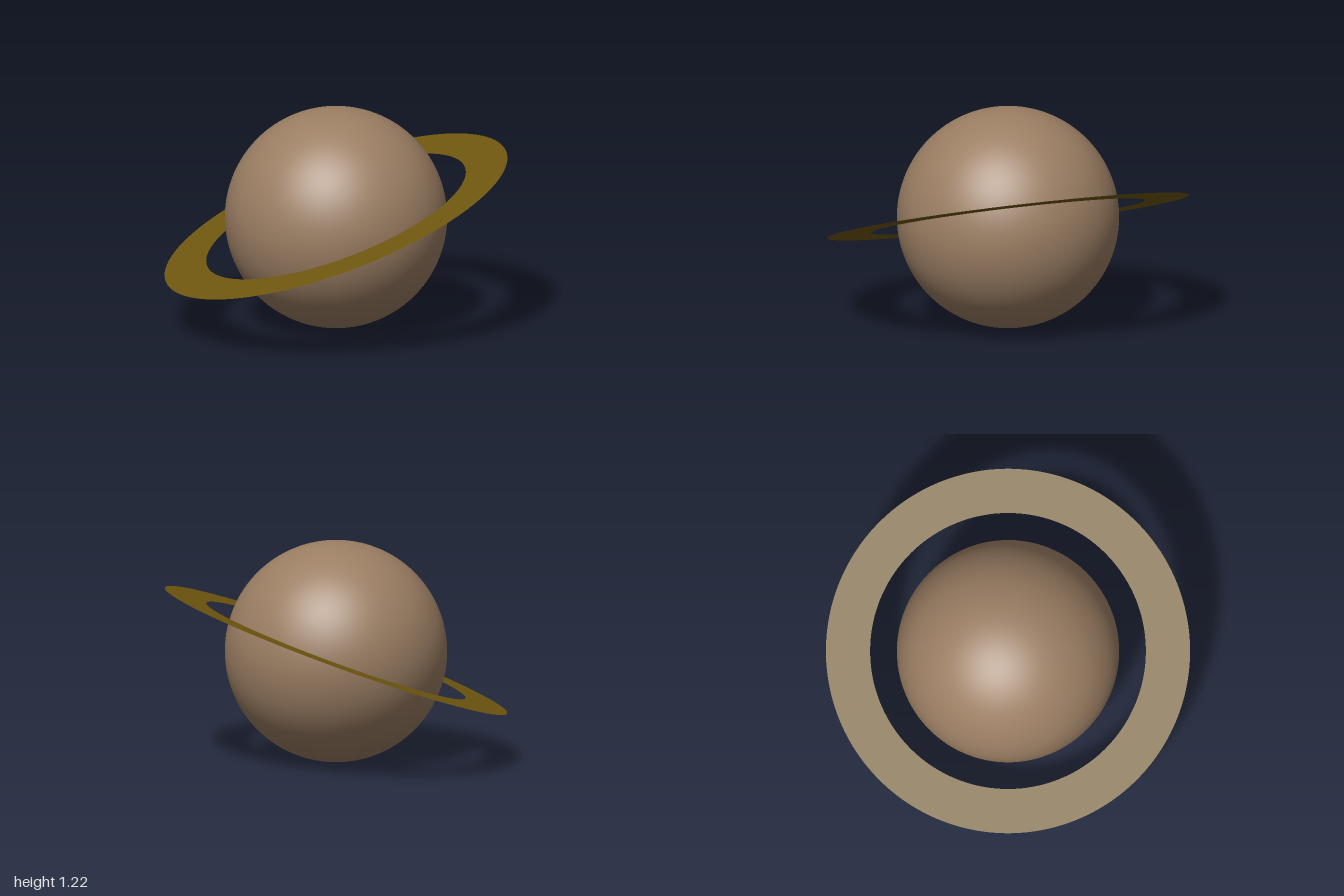
import * as THREE from 'three';

export function createModel() {
  const model = new THREE.Group();
  model.name = 'ringedPlanet';

  const tan = new THREE.MeshStandardMaterial({ color: 0x9b7e63 });
  tan.name = 'tan';
  const olive = new THREE.MeshStandardMaterial({ color: 0x70570f, side: THREE.DoubleSide });
  olive.name = 'olive';

  // Smooth globe resting on the ground
  const globe = new THREE.Mesh(new THREE.SphereGeometry(0.61, 96, 64), tan);
  globe.name = 'globe';
  globe.position.y = 0.615;
  model.add(globe);

  // Flat ring, laid level and then tilted: raised on +x and slightly at the front
  const ringGeometry = new THREE.RingGeometry(0.757, 1, 160, 1);
  ringGeometry.rotateX(-Math.PI / 2);
  const ring = new THREE.Mesh(ringGeometry, olive);
  ring.name = 'ring';
  ring.position.y = 0.618;
  ring.rotation.set(-0.02, 0, THREE.MathUtils.degToRad(20.4));
  model.add(ring);

  return model;
}
